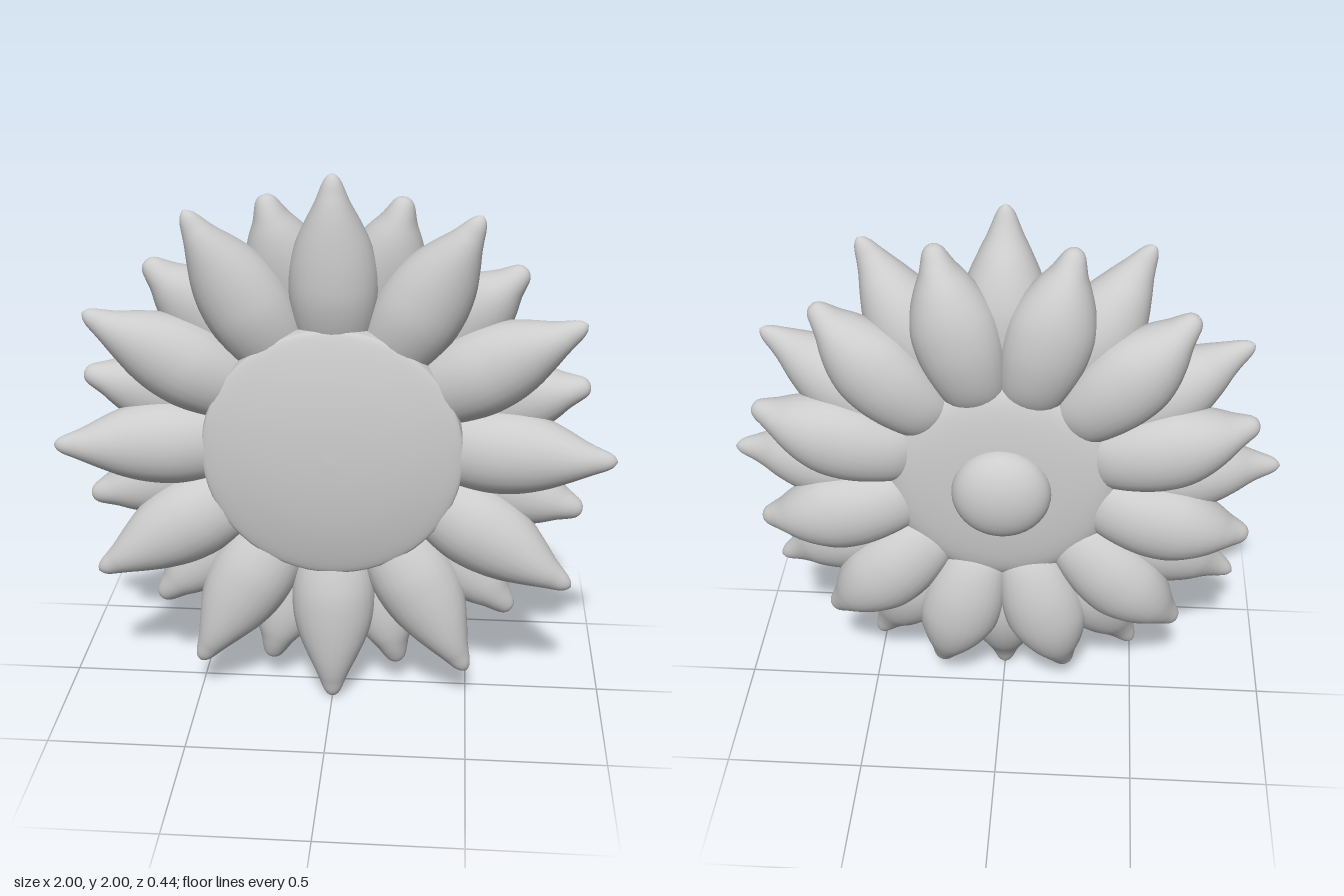
import * as THREE from 'three';

const grey = new THREE.MeshStandardMaterial({ color: 0xcccccc });
grey.name = 'plain grey';

// Plump petal from cross-sections: [radius, half width, back z, front z]
function petalGeometry(sections, rings = 40, sides = 24) {
  const depth = new THREE.CatmullRomCurve3(sections.map(([r, , b, f]) => new THREE.Vector3(r, b, f)), false, 'catmullrom');
  const width = new THREE.CatmullRomCurve3(sections.map(([r, w]) => new THREE.Vector3(r, w, 0)), false, 'catmullrom');
  const pos = [], index = [];
  for (let i = 0; i <= rings; i++) {
    const d = depth.getPoint(i / rings), w = Math.max(width.getPoint(i / rings).y, 0.002);
    const mid = (d.y + d.z) / 2, half = (d.z - d.y) / 2;
    for (let j = 0; j < sides; j++) {
      const a = (j / sides) * Math.PI * 2;
      pos.push(w * Math.cos(a), d.x, mid + half * Math.sin(a));
      if (i === rings) continue;
      const p = i * sides + j, q = i * sides + (j + 1) % sides;
      index.push(p, p + sides, q, q, p + sides, q + sides);
    }
  }
  const g = new THREE.BufferGeometry();
  g.setAttribute('position', new THREE.Float32BufferAttribute(pos, 3));
  g.setIndex(index);
  g.computeVertexNormals();
  return g;
}

// Twelve petals round the z axis
function petalRing(name, geometry, offset) {
  const ring = new THREE.Group();
  ring.name = name + 's';
  for (let i = 0; i < 12; i++) {
    const m = new THREE.Mesh(geometry, grey);
    m.name = name;
    m.rotation.z = -(i + offset) * Math.PI / 6;
    ring.add(m);
  }
  return ring;
}

export function createModel() {
  const model = new THREE.Group();
  model.name = 'flower';
  const head = new THREE.Group();
  head.name = 'flowerHead';
  head.position.y = 1;
  model.add(head);

  // Long front petals
  head.add(petalRing('frontPetal', petalGeometry([
    [0.32, 0.08, 0.0, 0.06], [0.38, 0.115, -0.04, 0.12], [0.46, 0.14, -0.06, 0.158],
    [0.56, 0.155, -0.07, 0.185], [0.66, 0.152, -0.065, 0.192], [0.75, 0.13, -0.04, 0.19],
    [0.83, 0.095, 0.0, 0.183], [0.89, 0.065, 0.045, 0.172], [0.93, 0.048, 0.072, 0.16],
    [0.965, 0.034, 0.09, 0.15], [0.987, 0.02, 0.103, 0.138], [1.0, 0.002, 0.119, 0.121],
  ]), 0));

  // Shorter back petals, curling forward at the tips
  head.add(petalRing('backPetal', petalGeometry([
    [0.3, 0.07, -0.05, 0.0], [0.36, 0.105, -0.098, 0.03], [0.44, 0.13, -0.13, 0.05],
    [0.54, 0.15, -0.149, 0.07], [0.64, 0.153, -0.149, 0.085], [0.72, 0.133, -0.135, 0.09],
    [0.79, 0.1, -0.108, 0.085], [0.845, 0.066, -0.073, 0.072], [0.88, 0.05, -0.045, 0.06],
    [0.91, 0.036, -0.022, 0.046], [0.925, 0.02, -0.006, 0.033], [0.93, 0.002, 0.012, 0.016],
  ]), 0.5));

  // Shallow domed centre, closed at the back
  const profile = new THREE.SplineCurve([
    [0, -0.125], [0.2, -0.118], [0.36, -0.09], [0.43, -0.03], [0.46, 0.06],
    [0.465, 0.13], [0.44, 0.16], [0.3, 0.195], [0.15, 0.214], [0, 0.22],
  ].map(([x, y]) => new THREE.Vector2(x, y))).getPoints(45);
  profile.forEach(p => { p.x = Math.max(p.x, 0); });
  const disc = new THREE.Mesh(new THREE.LatheGeometry(profile, 64).rotateX(Math.PI / 2), grey);
  disc.name = 'centreDisc';
  head.add(disc);

  // Rounded knob on the back
  const knob = new THREE.Mesh(new THREE.SphereGeometry(1, 40, 24).scale(0.178, 0.178, 0.105), grey);
  knob.name = 'backKnob';
  knob.position.z = -0.115;
  head.add(knob);

  return model;
}
